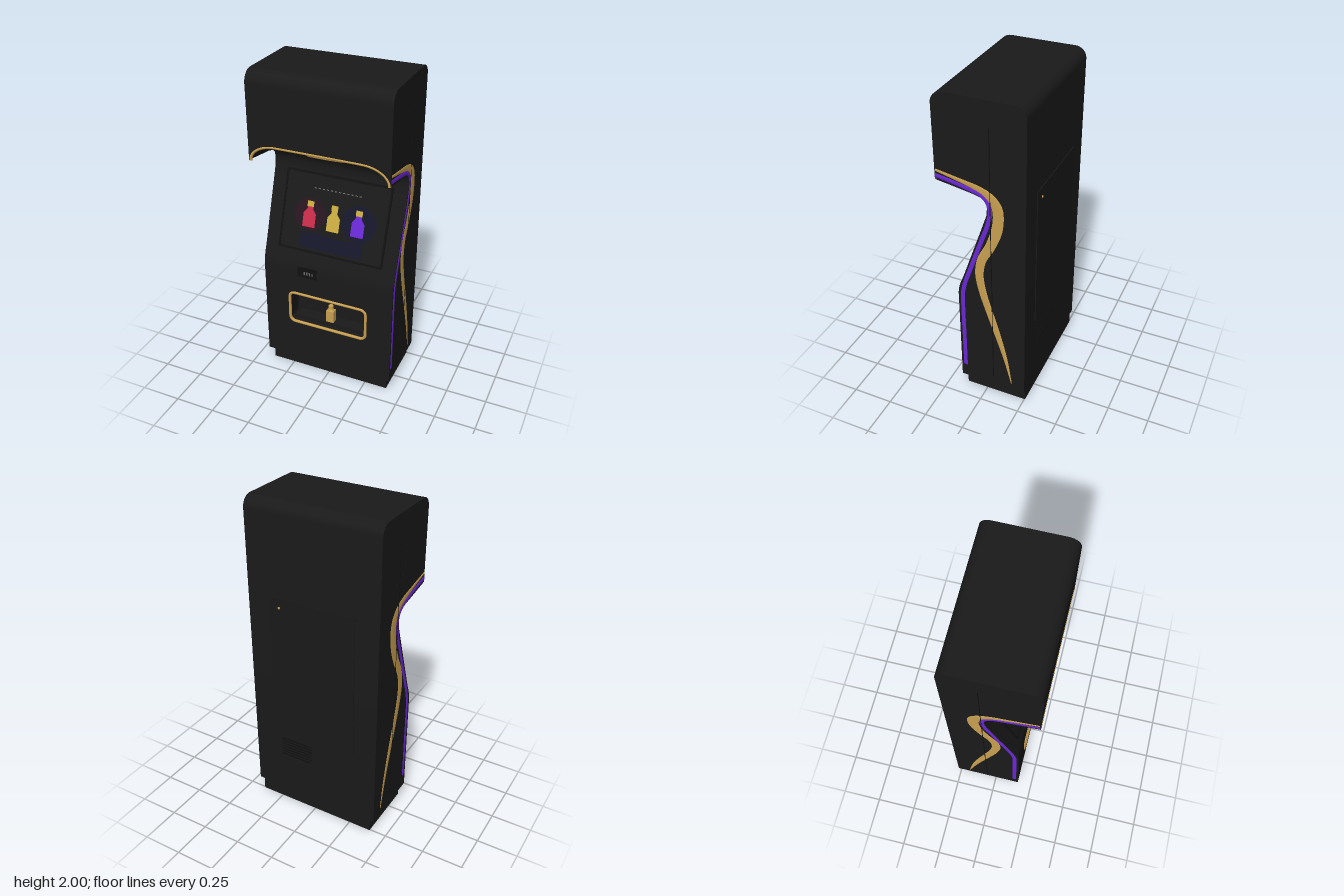
import * as THREE from 'three';
import { toCreasedNormals } from 'three/addons/utils/BufferGeometryUtils.js';

const mat = (name, color) => {
  const m = new THREE.MeshStandardMaterial({ color });
  m.name = name;
  return m;
};
const M = {
  body: mat('charcoal', 0x1a1a1a),
  black: mat('black', 0x111111),
  gold: mat('gold', 0xc9a050),
  purple: mat('purple', 0x6a28d6),
  red: mat('red', 0xc82c48),
  yellow: mat('screen yellow', 0xc8aa40),
  redGlow: mat('dark red glow', 0x281520),
  blueGlow: mat('dark blue glow', 0x17172b),
  grey: mat('grey', 0x6a6e6c),
};
const W = 0.42; // half width of the cabinet

function add(parent, name, geo, material, x = 0, y = 0, z = 0) {
  const m = new THREE.Mesh(geo, material);
  m.name = name;
  m.position.set(x, y, z);
  parent.add(m);
  return m;
}
const box = (w, h, d) => new THREE.BoxGeometry(w, h, d);

function roundedRect(path, w, h, r, cy = 0) {
  const x = w / 2, t = cy + h / 2, b = cy - h / 2;
  path.moveTo(-x + r, b).lineTo(x - r, b);
  path.absarc(x - r, b + r, r, -Math.PI / 2, 0);
  path.absarc(x - r, t - r, r, 0, Math.PI / 2);
  path.absarc(-x + r, t - r, r, Math.PI / 2, Math.PI);
  path.absarc(-x + r, b + r, r, Math.PI, Math.PI * 1.5);
  return path;
}

// How far the hood opening is arched up at a given x (0 at the sides, 1 in the middle)
const archAt = (x) => Math.sqrt(Math.max(0, 1 - (Math.max(0, Math.abs(x) - 0.26) / 0.16) ** 2));
const half = Array.from({ length: 11 }, (_, k) => 0.26 + 0.16 * Math.sin((k / 10) * Math.PI / 2));
const stations = [...half.map((x) => -x).reverse(), ...half];

// Upper cabinet: side profile [z, y] swept across x, with the hood underside arched
function upperBody() {
  const front = [[0.16, 0.65], [0.16, 0.74], [0.157, 0.775], [0.146, 0.815], [0.1245, 0.87], [0.097, 0.95],
    [0.063, 1.05], [0.029, 1.15], [-0.005, 1.25], [-0.0315, 1.33], [-0.036, 1.38]];
  const under = [[-0.027, 1.415], [-0.005, 1.433], [0.04, 1.447], [0.15, 1.465], [0.268, 1.485]];
  const top = [];
  for (let k = 0; k <= 8; k++) {
    const a = (k / 8) * Math.PI / 2;
    top.push([0.198 + 0.07 * Math.cos(a), 1.93 + 0.07 * Math.sin(a)]);
  }
  for (let k = 0; k <= 8; k++) {
    const a = (k / 8) * Math.PI / 2;
    top.push([-0.195 - 0.065 * Math.sin(a), 1.935 + 0.065 * Math.cos(a)]);
  }
  const profile = [...front, ...under, ...top, [-0.26, 0.65]];
  const n = profile.length, pos = [], idx = [];
  const isUnder = (i) => i >= front.length && i < front.length + under.length;
  for (const x of stations) {
    profile.forEach(([z, y], i) => {
      pos.push(x, y + (isUnder(i) ? 0.1 * archAt(x) * (z + 0.033) / 0.301 : 0), z);
    });
  }
  for (let j = 0; j < stations.length - 1; j++) {
    for (let i = 0; i < n - 1; i++) {
      const a = j * n + i, b = a + n;
      idx.push(a, b, b + 1, a, b + 1, a + 1);
    }
  }
  // side walls
  const flat = profile.map(([z, y]) => new THREE.Vector2(-z, y));
  const last = (stations.length - 1) * n;
  for (const [a, b, c] of THREE.ShapeUtils.triangulateShape(flat, [])) {
    const ccw = THREE.ShapeUtils.area([flat[a], flat[b], flat[c]]) > 0;
    const [p, q] = ccw ? [b, c] : [c, b];
    idx.push(last + a, last + p, last + q, a, q, p);
  }
  const g = new THREE.BufferGeometry();
  g.setAttribute('position', new THREE.Float32BufferAttribute(pos, 3));
  g.setIndex(idx);
  return toCreasedNormals(g, 0.6);
}

// Shallow domed band on a side wall; points are [z, y, width]
function sideBand(points, side, depth) {
  const curve = new THREE.CatmullRomCurve3(points.map(([z, y, w]) => new THREE.Vector3(w, y, z)), false, 'centripetal');
  const rows = 110, cols = 6, pos = [], idx = [];
  for (let i = 0; i <= rows; i++) {
    const p = curve.getPoint(i / rows), t = curve.getTangent(i / rows);
    const len = Math.hypot(t.y, t.z);
    for (let k = 0; k <= cols; k++) {
      const a = (k / cols) * Math.PI, off = Math.cos(a) * p.x / 2;
      pos.push(side * (W + depth * Math.sin(a)), p.y - off * t.z / len, p.z + off * t.y / len);
      if (i < rows && k < cols) {
        const q = i * (cols + 1) + k, r = q + cols + 1;
        if (side > 0) idx.push(q, q + 1, r, q + 1, r + 1, r);
        else idx.push(q, r, q + 1, q + 1, r, r + 1);
      }
    }
  }
  const g = new THREE.BufferGeometry();
  g.setAttribute('position', new THREE.Float32BufferAttribute(pos, 3));
  g.setIndex(idx);
  g.computeVertexNormals();
  return g;
}

function bottleShape() {
  const s = new THREE.Shape();
  [[-0.04, -0.07], [0.04, -0.07], [0.04, 0.012], [0.018, 0.042], [0.018, 0.06], [-0.018, 0.06], [-0.018, 0.042], [-0.04, 0.012]]
    .forEach(([x, y], i) => (i ? s.lineTo(x, y) : s.moveTo(x, y)));
  return new THREE.ShapeGeometry(s);
}

// Tilted display with three bottle pictures
function screen() {
  const g = new THREE.Group();
  g.name = 'screen';
  g.position.set(0, 1.1, 0.05);
  g.rotation.x = -0.329;
  const rim = roundedRect(new THREE.Shape(), 0.67, 0.486, 0.012);
  rim.holes.push(roundedRect(new THREE.Path(), 0.645, 0.46, 0.008));
  add(g, 'screenBezel', new THREE.ExtrudeGeometry(rim, { depth: 0.014, bevelEnabled: false }), M.black, 0, 0, -0.01);
  add(g, 'screenGlass', box(0.65, 0.465, 0.01), M.body, 0, 0, -0.003);
  const wave = new THREE.Shape();
  wave.moveTo(-0.2, -0.215).lineTo(0.2, -0.215).lineTo(0.2, -0.09);
  wave.bezierCurveTo(0.08, -0.17, -0.05, -0.09, -0.2, -0.13);
  add(g, 'blueWave', new THREE.ShapeGeometry(wave), M.blueGlow, 0, 0, 0.003);
  add(g, 'redGlow', new THREE.CircleGeometry(0.1, 32), M.redGlow, -0.155, -0.01, 0.0035);
  add(g, 'blueGlow', new THREE.CircleGeometry(0.11, 32), M.blueGlow, 0.16, -0.01, 0.0035);
  [['red', -0.155], ['yellow', 0], ['purple', 0.155]].forEach(([c, x]) => {
    add(g, c + 'BottlePicture', bottleShape(), M[c], x, -0.018, 0.005);
    add(g, c + 'BottleCap', new THREE.PlaneGeometry(0.042, 0.034), M.yellow, x, 0.054, 0.006);
  });
  for (let i = 0; i < 12; i++) {
    add(g, 'captionDash', new THREE.PlaneGeometry(0.014, 0.006), M.grey, -0.138 + i * 0.026, 0.153, 0.0045);
  }
  return g;
}

// Pick-up tray: frame, floor and the small bottle standing in it
function tray() {
  const g = new THREE.Group();
  g.name = 'pickupTray';
  const pts = roundedRect(new THREE.Path(), 0.508, 0.216, 0.035, 0.466).getSpacedPoints(120).slice(0, -1);
  const loop = new THREE.CatmullRomCurve3(pts.map((p) => new THREE.Vector3(p.x, p.y, 0.159)), true);
  add(g, 'trayFrame', new THREE.TubeGeometry(loop, 160, 0.0095, 8, true), M.gold);
  add(g, 'trayFloor', box(0.46, 0.025, 0.08), M.body, 0, 0.373, 0.085);
  add(g, 'traySlot', box(0.32, 0.008, 0.03), M.black, 0, 0.558, 0.08);
  add(g, 'bottleBody', box(0.05, 0.08, 0.04), M.gold, 0, 0.426, 0.1);
  add(g, 'bottleNeck', new THREE.CylinderGeometry(0.01, 0.02, 0.018, 16), M.gold, 0, 0.475, 0.1);
  add(g, 'bottleStopper', new THREE.CylinderGeometry(0.016, 0.016, 0.02, 16), M.gold, 0, 0.491, 0.1);
  return g;
}

export function createModel() {
  const root = new THREE.Group();
  root.name = 'vendingCabinet';

  // Cabinet
  add(root, 'plinth', box(0.786, 0.09, 0.39), M.body, 0, 0.045, -0.06);
  add(root, 'lowerBack', box(W * 2, 0.565, 0.31), M.body, 0, 0.3675, -0.105);
  const panel = new THREE.Shape();
  panel.moveTo(-W, 0.085).lineTo(W, 0.085).lineTo(W, 0.65).lineTo(-W, 0.65);
  panel.holes.push(roundedRect(new THREE.Path(), 0.506, 0.212, 0.032, 0.466));
  add(root, 'lowerFront', new THREE.ExtrudeGeometry(panel, { depth: 0.11, bevelEnabled: false }), M.body, 0, 0, 0.05);
  add(root, 'upperBody', upperBody(), M.body);
  root.add(screen(), tray());

  // Card reader
  add(root, 'cardReader', box(0.125, 0.07, 0.006), M.black, -0.132, 0.74, 0.1585);
  for (let i = 0; i < 4; i++) {
    add(root, 'readerMark', box(0.008, 0.022, 0.002), M.grey, -0.148 + i * 0.017, 0.736, 0.162);
  }

  // Gold trim along the hood arch
  const arch = new THREE.CatmullRomCurve3(stations.map((x) => new THREE.Vector3(x * 0.982, 1.483 + 0.1 * archAt(x), 0.262)));
  add(root, 'hoodTrim', new THREE.TubeGeometry(arch, 90, 0.009, 8), M.gold);

  // Lamp under the hood
  const lamp = new THREE.Group();
  lamp.name = 'hoodLamp';
  lamp.position.set(0, 1.526, 0.157);
  lamp.rotation.x = 1.12;
  add(lamp, 'lampRing', new THREE.TorusGeometry(0.101, 0.008, 8, 40), M.gold);
  add(lamp, 'lampPlate', new THREE.CircleGeometry(0.1, 40), M.body, 0, 0, 0.003);
  add(lamp, 'lampLens', new THREE.CircleGeometry(0.024, 24), M.grey, 0, 0, 0.006);
  root.add(lamp);

  // Side decoration, the same on both sides
  const goldPath = [[0.262, 1.542, 0.015], [0.11, 1.51, 0.026], [0.005, 1.483, 0.04], [-0.058, 1.446, 0.055],
    [-0.093, 1.395, 0.064], [-0.101, 1.33, 0.064], [-0.088, 1.236, 0.064], [-0.048, 1.127, 0.058],
    [0.005, 1.02, 0.054], [0.021, 0.918, 0.053], [0.003, 0.796, 0.05], [-0.03, 0.68, 0.047],
    [-0.08, 0.52, 0.042], [-0.135, 0.324, 0.027], [-0.175, 0.133, 0.006]];
  const purplePath = [[0.266, 1.51], [0.16, 1.491], [0.075, 1.472], [0.005, 1.452], [-0.035, 1.418], [-0.053, 1.36],
    [-0.034, 1.26], [-0.006, 1.18], [0.025, 1.09], [0.056, 1.0], [0.087, 0.91], [0.114, 0.83], [0.131, 0.75],
    [0.134, 0.66], [0.134, 0.4], [0.134, 0.175]].map(([z, y]) => [z, y, 0.026]);
  for (const s of [1, -1]) {
    const side = s > 0 ? 'left' : 'right';
    add(root, side + 'GoldRibbon', sideBand(goldPath, s, 0.0025), M.gold);
    add(root, side + 'PurpleStrip', sideBand(purplePath, s, 0.003), M.purple);
    add(root, side + 'Seam', box(0.006, 1.7, 0.004), M.black, s * 0.4203, 1.0, -0.055);
  }

  // Service door, lock and vent on the back
  add(root, 'serviceDoor', box(0.545, 0.9, 0.01), M.body, 0, 1.0, -0.26);
  const lock = add(root, 'doorLock', new THREE.CylinderGeometry(0.007, 0.007, 0.012, 16), M.gold, 0.21, 1.39, -0.264);
  lock.rotation.x = Math.PI / 2;
  for (let i = 0; i < 7; i++) {
    add(root, 'ventSlat', box(0.21, 0.009, 0.01), M.black, 0.125, 0.36 + i * 0.02, -0.259);
  }
  return root;
}
